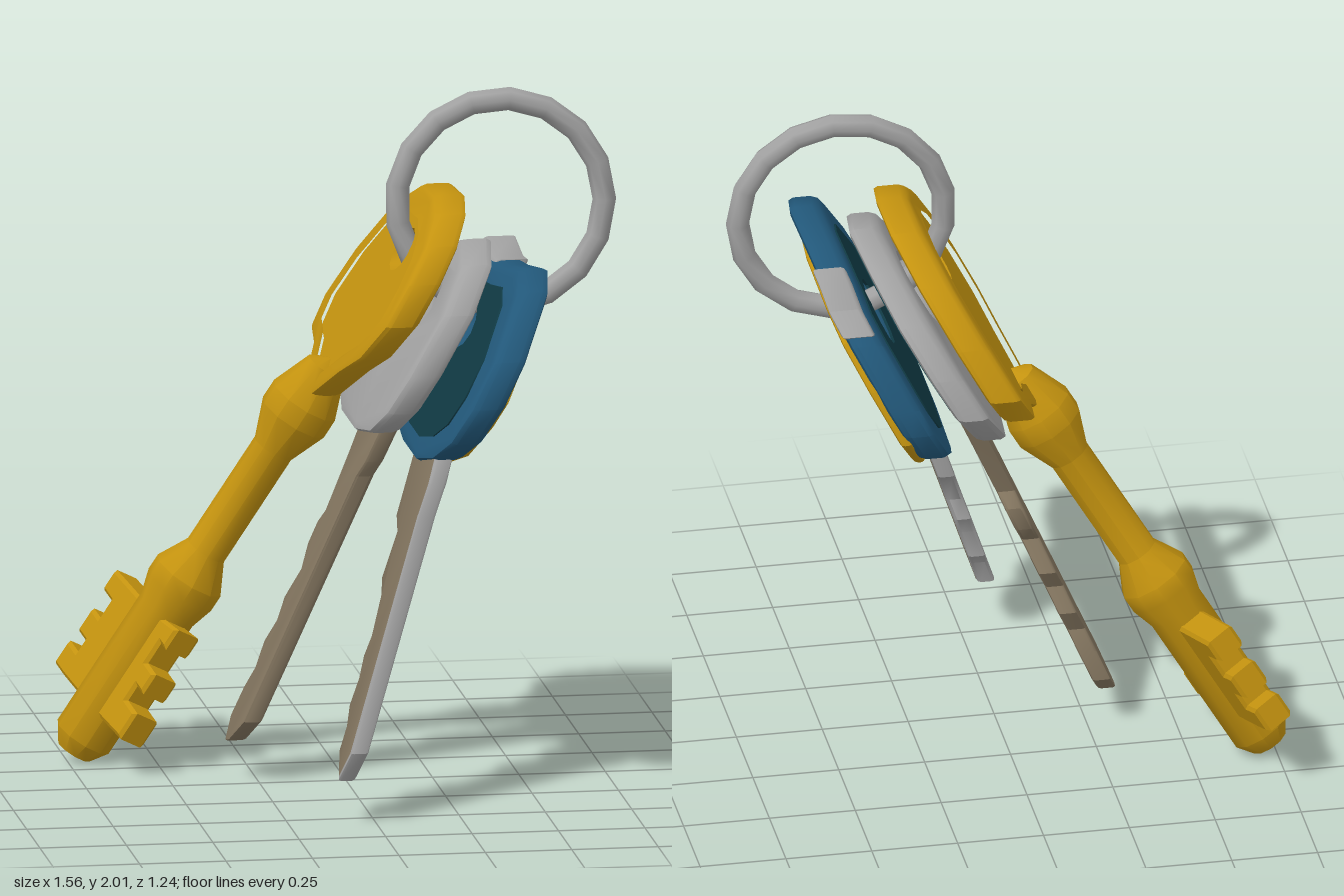
import * as THREE from 'three';
import { toCreasedNormals } from 'three/addons/utils/BufferGeometryUtils.js';

const mat = (name, color) => Object.assign(new THREE.MeshStandardMaterial({ color }), { name });

// Outline given as [z, y] pairs, drawn as seen from +x
const toShape = (pts, hole) => {
  const shape = new THREE.Shape(pts.map(([z, y]) => new THREE.Vector2(-z, y)));
  if (hole) {
    shape.holes.push(Array.isArray(hole[0])
      ? new THREE.Path(hole.map(([z, y]) => new THREE.Vector2(-z, y)))
      : new THREE.Path().absellipse(-hole[0], hole[1], hole[2], hole[3], 0, Math.PI * 2));
  }
  return shape;
};

// Shrink an outline towards its middle
const inset = (pts, k) => {
  const mz = pts.reduce((a, p) => a + p[0], 0) / pts.length;
  const my = pts.reduce((a, p) => a + p[1], 0) / pts.length;
  return pts.map(([z, y]) => [mz + (z - mz) * k, my + (y - my) * k]);
};

// Bevelled slab facing x, leaning so that x = x0 + slope * (y - y0)
function plate(name, material, pts, { x0, y0, slope, thick, bevel = 0, hole }) {
  let g = new THREE.ExtrudeGeometry(toShape(pts, hole), {
    depth: thick - 2 * bevel, bevelEnabled: bevel > 0, bevelSize: bevel,
    bevelThickness: bevel, bevelOffset: -bevel, bevelSegments: 2, curveSegments: 6,
  });
  g.translate(0, 0, bevel - thick / 2).rotateY(Math.PI / 2);
  const p = g.attributes.position;
  for (let i = 0; i < p.count; i++) p.setX(i, p.getX(i) + x0 + slope * (p.getY(i) - y0));
  g = toCreasedNormals(g, 0.7);
  const mesh = new THREE.Mesh(g, material);
  mesh.name = name;
  return mesh;
}

const named = (name, ...children) => {
  const group = new THREE.Group();
  group.name = name;
  return group.add(...children);
};

export function createModel() {
  const gold = mat('gold', 0xc4930f);
  const silver = mat('silver', 0xa2a2a2);
  const blue = mat('blue', 0x22587a);
  const tan = mat('dull steel', 0x847660);
  const teal = mat('dark teal', 0x103a44);

  // Split ring
  const ring = new THREE.Mesh(new THREE.TorusGeometry(0.3, 0.034, 8, 17), silver);
  ring.name = 'ring';
  ring.position.set(0.45, 1.67, -0.025);
  ring.rotation.set(-0.03, -0.03, 0);

  // Old-fashioned gold key: bow with raised rim and thinner web
  const bowPts = [[0.28, 1.5], [0.23, 1.6], [0.13, 1.67], [0, 1.7], [-0.2, 1.69], [-0.38, 1.6],
    [-0.5, 1.45], [-0.55, 1.3], [-0.5, 1.21], [-0.38, 1.19], [-0.26, 1.12], [-0.2, 1.08],
    [-0.1, 1.1], [0.06, 1.2], [0.2, 1.27], [0.29, 1.38]];
  const lean1 = { x0: 0.14, y0: 1.42, slope: 0.58 };
  const inner1 = inset(bowPts, 0.84);
  const rim = plate('goldBowRim', gold, bowPts, { ...lean1, thick: 0.1, bevel: 0.02, hole: inner1 });
  const web = plate('goldBowWeb', gold, inset(bowPts, 0.88),
    { ...lean1, thick: 0.06, hole: [-0.07, 1.53, 0.085, 0.06] });

  // Gold shaft with two collars
  const tip = new THREE.Vector3(-0.715, 0.05, -0.365);
  const u = new THREE.Vector3(-0.08, 1.09, -0.18).sub(tip).normalize();
  const w = new THREE.Vector3(0.18, -0.31, 0.94);
  w.addScaledVector(u, -w.dot(u)).normalize();
  const profile = [[0, -0.03], [0.055, -0.03], [0.088, 0.02], [0.088, 0.47], [0.108, 0.54], [0.108, 0.59],
    [0.062, 0.68], [0.062, 1.04], [0.105, 1.15], [0.105, 1.21], [0.06, 1.33], [0, 1.36]]
    .map(([r, t]) => new THREE.Vector2(r, t));
  const shaft = new THREE.Mesh(toCreasedNormals(new THREE.LatheGeometry(profile, 10), 0.7), gold);
  shaft.name = 'goldShaft';

  // Toothed bit on both sides of the shaft
  const bitPts = [[-0.21, 0.1], [-0.28, 0.1], [-0.28, 0.18], [-0.21, 0.18], [-0.21, 0.22], [-0.27, 0.22],
    [-0.27, 0.3], [-0.21, 0.3], [-0.21, 0.36], [-0.28, 0.36], [-0.28, 0.43], [0, 0.45], [0.17, 0.48],
    [0.17, 0.41], [0.13, 0.41], [0.13, 0.34], [0.2, 0.34], [0.2, 0.27], [0.15, 0.27], [0.15, 0.22],
    [0.23, 0.22], [0.23, 0.13], [0, 0.11]].map(([s, t]) => new THREE.Vector2(s, t));
  const bitGeo = new THREE.ExtrudeGeometry(new THREE.Shape(bitPts), {
    depth: 0.07, bevelSize: 0.01, bevelThickness: 0.01, bevelOffset: -0.01, bevelSegments: 1,
  }).translate(0, 0, -0.035);
  const bit = new THREE.Mesh(bitGeo, gold);
  bit.name = 'goldBit';
  const stem = named('goldStem', shaft, bit);
  stem.quaternion.setFromRotationMatrix(
    new THREE.Matrix4().makeBasis(w, u, new THREE.Vector3().crossVectors(w, u)));
  stem.position.copy(tip);

  // Silver key
  const silverPts = [[0.37, 1.25], [0.34, 1.42], [0.22, 1.54], [0.05, 1.58], [-0.14, 1.53], [-0.33, 1.45],
    [-0.43, 1.32], [-0.46, 1.2], [-0.36, 1.08], [-0.15, 1.04], [0.1, 1.04], [0.27, 1.07], [0.35, 1.14]];
  const lean2 = { x0: 0.175, y0: 1.25, slope: 0.6 };
  const hole2 = [0, 1.41, 0.15, 0.075];
  const silverBow = plate('silverBow', silver, silverPts, { ...lean2, thick: 0.1, bevel: 0.025, hole: hole2 });
  const silverInlay = plate('silverBowInlay', teal, inset(silverPts, 0.86),
    { ...lean2, x0: 0.226, thick: 0.008, hole: hole2 });
  const blade2 = plate('silverKeyBlade', [tan, tan], [[0.13, 1.1], [0.11, 0.95], [0.075, 0.9], [0.03, 0.18],
    [-0.06, 0.11], [-0.1, 0.1], [-0.16, 0.16], [-0.15, 0.25], [-0.12, 0.31], [-0.15, 0.38], [-0.11, 0.45],
    [-0.14, 0.51], [-0.09, 0.6], [-0.14, 0.66], [-0.14, 0.73], [-0.105, 0.77], [-0.13, 0.93], [-0.17, 1.1]],
    { x0: -0.31, y0: 0.1, slope: 0.44, thick: 0.055, bevel: 0.01 });

  // Blue key with gold cover
  const bluePts = [[0.6, 1.2], [0.57, 1.33], [0.42, 1.5], [0.29, 1.54], [0.1, 1.51], [-0.1, 1.49],
    [-0.29, 1.5], [-0.38, 1.43], [-0.46, 1.25], [-0.47, 1.17], [-0.42, 1.07], [-0.3, 1.01], [0, 0.98],
    [0.25, 0.98], [0.43, 1.02], [0.55, 1.09]];
  const coverPts = [[0.53, 1.2], [0.46, 1.33], [0.35, 1.4], [0.18, 1.44], [-0.15, 1.45], [-0.33, 1.42],
    [-0.42, 1.3], [-0.46, 1.14], [-0.38, 1.04], [-0.2, 0.96], [0, 0.935], [0.2, 0.955], [0.4, 1.02], [0.5, 1.12]];
  const lean3 = { x0: 0.347, y0: 1.25, slope: 0.53 };
  const hole3 = [0.01, 1.33, 0.16, 0.07];
  const blueBow = plate('blueBow', blue, bluePts, { ...lean3, thick: 0.1, bevel: 0.025, hole: hole3 });
  const cover = plate('goldCover', gold, coverPts,
    { ...lean3, x0: 0.4, thick: 0.034, bevel: 0.012, hole: hole3 });
  const blueInlay = plate('blueBowInlay', teal, inset(bluePts, 0.78),
    { ...lean3, x0: 0.296, thick: 0.008, hole: hole3 });
  const edge = plate('silverEdge', silver, [[-0.02, 1.5], [-0.1, 1.495], [-0.295, 1.508], [-0.365, 1.455],
    [-0.33, 1.43], [-0.02, 1.455]], { ...lean3, x0: 0.355, thick: 0.095, bevel: 0.01 });
  const blade3 = plate('blueKeyBlade', [tan, silver], [[0.42, 1.05], [0.46, 0.96], [0.46, 0.86], [0.62, 0.21],
    [0.565, 0.12], [0.45, 0.18], [0.44, 0.25], [0.385, 0.3], [0.39, 0.38], [0.355, 0.44], [0.37, 0.5],
    [0.32, 0.6], [0.25, 0.64], [0.25, 0.77], [0.17, 0.8], [0.13, 0.95], [0.1, 1.05]],
    { x0: -0.085, y0: 0.12, slope: 0.335, thick: 0.052, bevel: 0.01 });

  return named('keyBunch', ring,
    named('goldKey', rim, web, stem),
    named('silverKey', silverBow, silverInlay, blade2),
    named('blueKey', blueBow, cover, blueInlay, edge, blade3));
}
